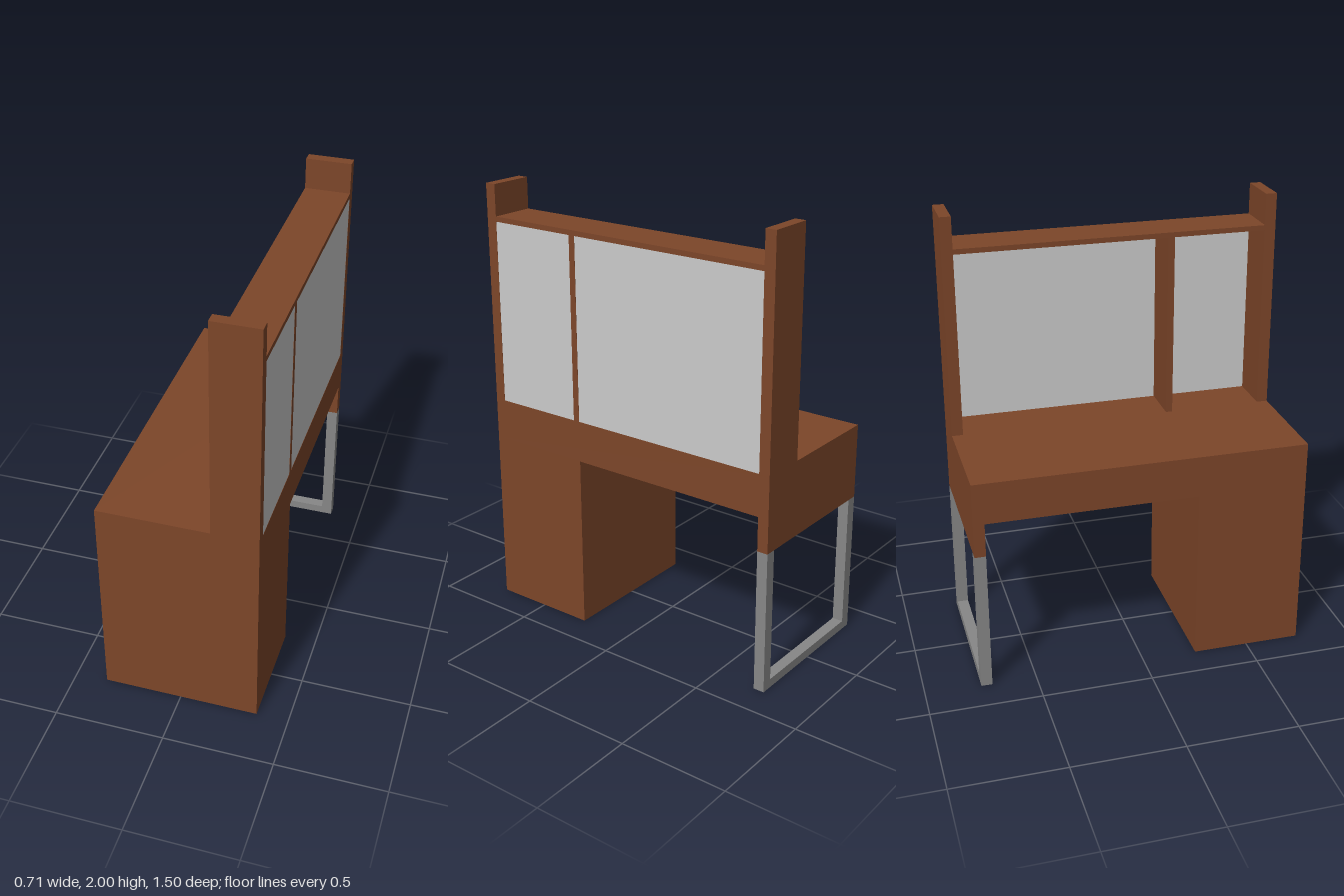
import * as THREE from 'three';

export function createModel() {
  const desk = new THREE.Group();
  desk.name = 'desk';
  const wood = new THREE.MeshStandardMaterial({ color: 0x7d4629, side: THREE.DoubleSide });
  const metal = new THREE.MeshStandardMaterial({ color: 0x878787 });
  const panel = new THREE.MeshStandardMaterial({ color: 0xcccccc });

  // Box given by its lower and upper limits on each axis
  const box = (name, material, [x0, x1], [y0, y1], [z0, z1], parent = desk) => {
    const mesh = new THREE.Mesh(new THREE.BoxGeometry(x1 - x0, y1 - y0, z1 - z0), material);
    mesh.position.set((x0 + x1) / 2, (y0 + y1) / 2, (z0 + z1) / 2);
    mesh.name = name;
    parent.add(mesh);
    return mesh;
  };

  const X = 0.355, Z = 0.75, T = 0.05; // half depth, half length, board thickness
  const deckX = [0.148, X];            // depth range of the upper shelf unit

  // Thick desk top and the short side panel above the metal leg
  box('deskTop', wood, [-X, X], [0.81, 1], [-Z, Z]);
  box('sidePanel', wood, [-X, X], [0.655, 0.81], [-Z, -Z + T]);

  // Cabinet pedestal: four walls, open underneath
  const cabinet = new THREE.Group();
  cabinet.name = 'cabinet';
  const cabinetZ = 0.5, cabinetH = 0.81;
  for (let i = 0; i < 4; i++) {
    const endWall = i % 2 === 0; // walls facing +z and -z
    const wall = new THREE.Mesh(new THREE.PlaneGeometry(endWall ? 2 * X : cabinetZ, cabinetH), wood);
    const distance = endWall ? cabinetZ / 2 : X;
    const angle = i * Math.PI / 2;
    wall.rotation.y = angle;
    wall.position.set(Math.sin(angle) * distance, cabinetH / 2, Math.cos(angle) * distance);
    wall.name = 'cabinetWall';
    cabinet.add(wall);
  }
  cabinet.position.z = Z - cabinetZ / 2;
  desk.add(cabinet);

  // Metal leg frame: two posts and a floor bar
  const frame = new THREE.Group();
  frame.name = 'legFrame';
  desk.add(frame);
  for (const s of [-1, 1]) {
    const post = box('legPost', metal, [X - T, X], [0, 0.655], [-Z, -Z + T], frame);
    post.position.x *= s;
  }
  box('floorBar', metal, [-X + T, X - T], [0, 0.04], [-Z, -Z + T], frame);

  // Upper shelf unit: uprights, shelf and divider
  for (const s of [-1, 1]) {
    const upright = box('upright', wood, deckX, [1, 2], [Z - T, Z]);
    upright.position.z *= s;
  }
  box('shelf', wood, deckX, [1.835, 1.858], [-Z + T, Z - T]);
  box('divider', wood, deckX, [1, 1.835], [0.25, 0.28]);

  // Thin grey panels closing the shelf bays
  for (const bay of [[-Z + T, 0.25], [0.28, Z - T]]) {
    box('bayPanel', panel, [X - 0.008, X - 0.001], [1, 1.835], bay);
  }

  return desk;
}
